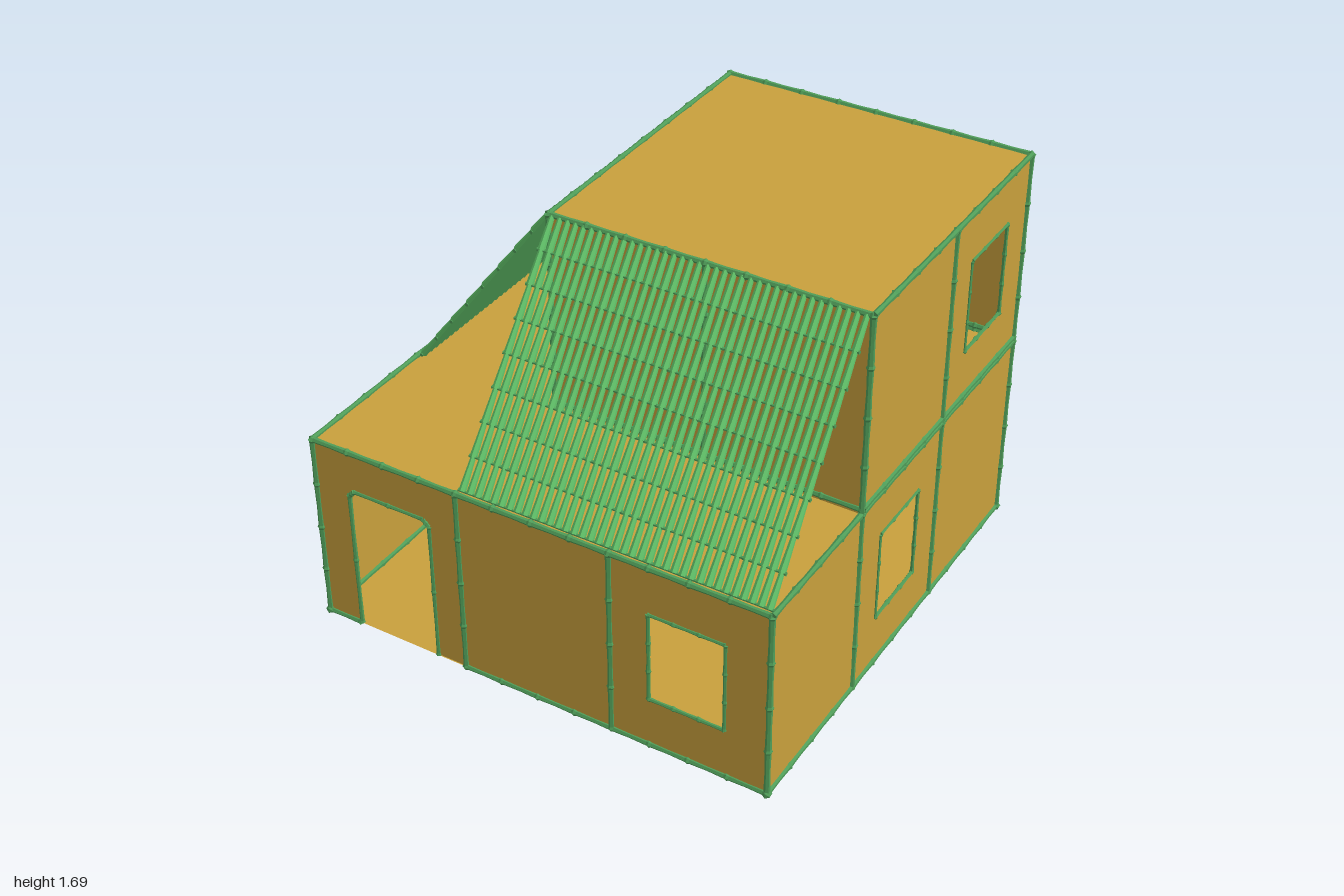
import * as THREE from 'three';
import { mergeGeometries } from 'three/addons/utils/BufferGeometryUtils.js';

const E = 0.98, C = 0.327, FLOOR = 0.02, MID = 0.84, TOP = 1.68;
const wallMat = new THREE.MeshStandardMaterial({ color: 0xc8a03c, side: THREE.DoubleSide });
const frameMat = new THREE.MeshStandardMaterial({ color: 0x4f9c58, flatShading: true });
const roofMat = new THREE.MeshStandardMaterial({ color: 0x62c46a, flatShading: true, side: THREE.DoubleSide });
const V = (x, y, z) => new THREE.Vector3(x, y, z);

// Bamboo cane from a to b with raised rings at its joints
function cane(a, b, r = 0.012, joints = 4) {
  const dir = b.clone().sub(a), len = dir.length(), step = len / joints;
  const pts = [new THREE.Vector2(0, 0)];
  for (let i = 0; i < joints; i++) {
    const y = i * step;
    pts.push(new THREE.Vector2(r * 1.35, y), new THREE.Vector2(r, y + 0.01),
      new THREE.Vector2(r * 0.85, y + step / 2), new THREE.Vector2(r, y + step - 0.01));
  }
  pts.push(new THREE.Vector2(r * 1.35, len), new THREE.Vector2(0, len));
  const g = new THREE.LatheGeometry(pts, 6);
  g.applyQuaternion(new THREE.Quaternion().setFromUnitVectors(V(0, 1, 0), dir.normalize()));
  return g.translate(a.x, a.y, a.z);
}

function add(parent, name, geo, mat) {
  const m = new THREE.Mesh(geo, mat);
  m.name = name;
  parent.add(m);
  return m;
}

// Closed or open run of canes through the given points
function run(points, r, closed, joints) {
  const n = points.length - (closed ? 0 : 1);
  return Array.from({ length: n }, (_, i) => cane(points[i], points[(i + 1) % points.length], r, joints));
}

// Wall facing +z locally; windows are [centre x, centre y], door is [x0, x1, y1]
function wall(parent, name, x0, x1, y0, y1, windows, door) {
  const g = new THREE.Group();
  g.name = name;
  const s = new THREE.Shape();
  s.moveTo(x0, y0);
  if (door) {
    const [a, b, t] = door;
    s.lineTo(a, y0).lineTo(a, t - 0.025).lineTo(a + 0.025, t).lineTo(b - 0.025, t).lineTo(b, t - 0.025).lineTo(b, y0);
    add(g, 'doorFrame', mergeGeometries(run([V(a, y0, 0), V(a, t - 0.025, 0), V(a + 0.025, t, 0),
      V(b - 0.025, t, 0), V(b, t - 0.025, 0), V(b, y0, 0)], 0.009, false, 2)), frameMat);
  }
  s.lineTo(x1, y0).lineTo(x1, y1).lineTo(x0, y1).closePath();
  for (const [cx, cy] of windows) {
    const w = 0.157, h = 0.198;
    const corners = [[-w, -h], [-w, h], [w, h], [w, -h]].map(([x, y]) => V(cx + x, cy + y, 0));
    s.holes.push(new THREE.Path(corners.map(p => new THREE.Vector2(p.x, p.y))));
    add(g, 'windowFrame', mergeGeometries(run(corners, 0.008, true, 3)), frameMat);
  }
  add(g, 'wallPanel', new THREE.ShapeGeometry(s), wallMat);
  parent.add(g);
  return g;
}

function slab(parent, name, x0, x1, z0, z1, y) {
  const m = add(parent, name, new THREE.PlaneGeometry(x1 - x0, z1 - z0).rotateX(-Math.PI / 2), wallMat);
  m.position.set((x0 + x1) / 2, y, (z0 + z1) / 2);
}

// Sloping screen of stepped canes, rising away from +z
function caneRoof(name, centreX, turn) {
  const outer = new THREE.Group(), inner = new THREE.Group();
  outer.name = name;
  const width = 1.3, rise = TOP - MID - 0.01, depth = 0.63, len = Math.hypot(rise, depth);
  const count = 38, rows = 8, step = len / rows, parts = [];
  for (let i = 0; i < count; i++) {
    const x = -width / 2 + (i + 0.5) * width / count;
    for (let j = 0; j < rows; j++) {
      parts.push(new THREE.CylinderGeometry(0.010, 0.0145, step, 6, 1, true).translate(x, (j + 0.5) * step, 0));
    }
  }
  add(inner, 'roofCanes', mergeGeometries(parts), roofMat);
  const bars = [];
  for (let j = 0; j <= rows; j++) bars.push(cane(V(-width / 2, j * step, 0), V(width / 2, j * step, 0), 0.006, 8));
  add(inner, 'roofBattens', mergeGeometries(bars), frameMat);
  inner.position.set(centreX, MID + 0.01, 0.96);
  inner.rotation.x = -Math.atan2(depth, rise);
  outer.add(inner);
  outer.rotation.y = turn;
  return outer;
}

export function createModel() {
  const root = new THREE.Group();
  root.name = 'house';
  const cell = 0.645, wy = 0.437, uy = 1.27;

  // Lower storey
  wall(root, 'frontWall', -E, E, FLOOR, MID, [[cell, wy]], [-0.825, -0.457, 0.665]).position.z = E;
  wall(root, 'backWall', -E, E, FLOOR, MID, [[-cell, wy], [cell, wy]]).position.z = -E;
  for (const s of [-1, 1]) {
    const w = wall(root, s > 0 ? 'leftWall' : 'rightWall', -E, E, FLOOR, MID, [[0, wy]]);
    w.position.x = s * E;
    w.rotation.y = Math.PI / 2;
  }

  // Upper storey, set into the back corner
  wall(root, 'upperFrontWall', -C, E, MID, TOP, []).position.z = C;
  wall(root, 'upperBackWall', -C, E, MID, TOP, [[0, uy]]).position.z = -E;
  const left = wall(root, 'upperLeftWall', -C, E, MID, TOP, [[cell, uy]]);
  left.position.x = E;
  left.rotation.y = Math.PI / 2;
  const right = wall(root, 'upperRightWall', -C, E, MID, TOP, []);
  right.position.x = -C;
  right.rotation.y = Math.PI / 2;

  slab(root, 'floor', -E, E, -E, E, FLOOR - 0.005);
  slab(root, 'terrace', -E, E, -E, E, MID);
  slab(root, 'flatRoof', -C, E, -E, C, TOP);

  // Bamboo posts at every bay of both storeys
  const grid = [-E, -C, C, E], posts = [];
  for (const x of grid) for (const z of grid) {
    if (Math.abs(x) === E || Math.abs(z) === E) posts.push(cane(V(x, FLOOR, z), V(x, MID, z), 0.0125, 4));
    const inside = x >= -C && z <= C;
    if (inside && !(x === C && z === -C)) posts.push(cane(V(x, MID, z), V(x, TOP, z), 0.0125, 4));
  }
  add(root, 'posts', mergeGeometries(posts), frameMat);

  // Horizontal rails around a rectangle, one cane per bay
  const rails = [];
  const ring = (xs, zs, y, doorGap) => {
    for (let i = 0; i + 1 < xs.length; i++) for (const z of [zs[0], zs[zs.length - 1]]) {
      const gap = doorGap && i === 0 && z === E;
      rails.push(cane(V(xs[i], y, z), V(gap ? -0.83 : xs[i + 1], y, z), 0.012, gap ? 1 : 4));
    }
    for (let i = 0; i + 1 < zs.length; i++) for (const x of [xs[0], xs[xs.length - 1]]) {
      rails.push(cane(V(x, y, zs[i]), V(x, y, zs[i + 1]), 0.012, 4));
    }
  };
  ring(grid, grid, FLOOR, true);
  ring(grid, grid, MID + 0.002, false);
  ring([-C, C, E], [-E, -C, C], MID + 0.022, false);
  ring([-C, C, E], [-E, -C, C], TOP, false);
  add(root, 'rails', mergeGeometries(rails), frameMat);

  // Corner knots
  for (const x of [-E, E]) for (const z of [-E, E]) {
    add(root, 'cornerKnot', new THREE.IcosahedronGeometry(0.02), frameMat).position.set(x, FLOOR, z);
  }

  // Cane screens leaning on the upper storey
  root.add(caneRoof('frontCaneRoof', 0.325, 0));
  root.add(caneRoof('sideCaneRoof', -0.325, -Math.PI / 2));
  return root;
}
